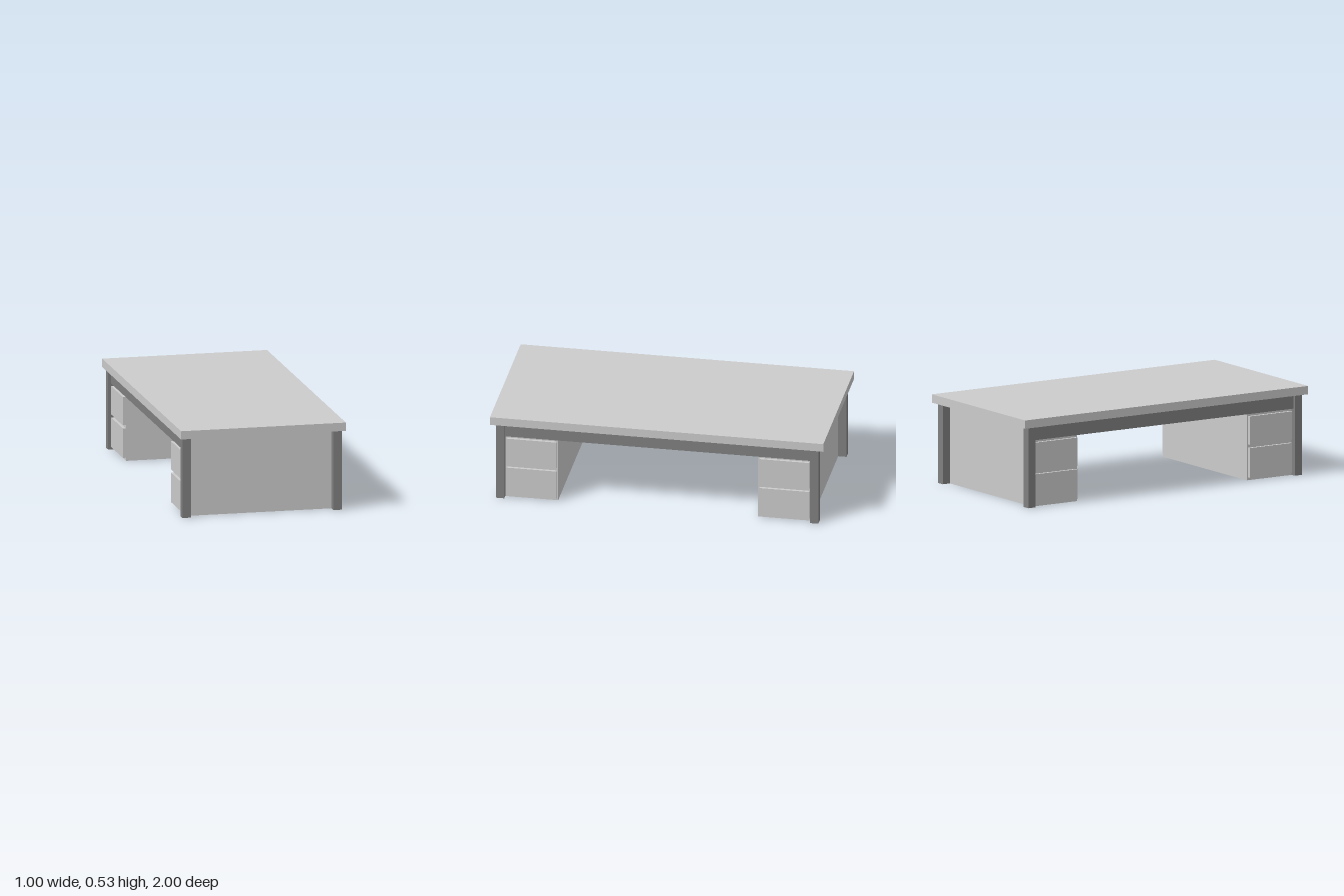
import * as THREE from 'three';

export function createModel() {
  const desk = new THREE.Group();
  desk.name = 'desk';
  const light = new THREE.MeshStandardMaterial({ color: 0xcccccc });
  const dark = new THREE.MeshStandardMaterial({ color: 0x808080 });

  // Box given by its minimum and maximum on each axis
  function box(parent, name, material, [x0, x1], [y0, y1], [z0, z1]) {
    const mesh = new THREE.Mesh(new THREE.BoxGeometry(x1 - x0, y1 - y0, z1 - z0), material);
    mesh.position.set((x0 + x1) / 2, (y0 + y1) / 2, (z0 + z1) / 2);
    mesh.name = name;
    parent.add(mesh);
  }
  // Range on one side of the centre, mirrored by sign
  const side = (s, a, b) => (s > 0 ? [a, b] : [-b, -a]);

  const H = 0.483; // underside of the top
  box(desk, 'deskTop', light, [-0.5, 0.5], [H, 0.533], [-1, 1]);

  for (const sx of [1, -1]) {
    // Long rails under the top
    box(desk, 'rail', dark, side(sx, 0.45, 0.467), [0.4, H], [-0.917, 0.917]);
    for (const sz of [1, -1]) {
      box(desk, 'leg', dark, side(sx, 0.433, 0.483), [0, H], side(sz, 0.917, 0.967));
    }
  }

  // Drawer pedestals, open underneath, with drawers on both long sides
  for (const sz of [1, -1]) {
    const pedestal = new THREE.Group();
    pedestal.name = 'pedestal';
    desk.add(pedestal);
    box(pedestal, 'endPanel', light, [-0.45, 0.45], [0, H], side(sz, 0.909, 0.917));
    box(pedestal, 'innerPanel', light, [-0.45, 0.45], [0, H], side(sz, 0.6, 0.608));
    for (const sx of [1, -1]) {
      box(pedestal, 'drawerBacking', light, side(sx, 0.442, 0.45), [0, H], side(sz, 0.608, 0.909));
      for (const y of [0.017, 0.215]) {
        box(pedestal, 'drawerFront', light, side(sx, 0.45, 0.467), [y, y + 0.178 - (y > 0.1 ? 0.008 : 0)], side(sz, 0.609, 0.908));
      }
    }
  }
  return desk;
}
